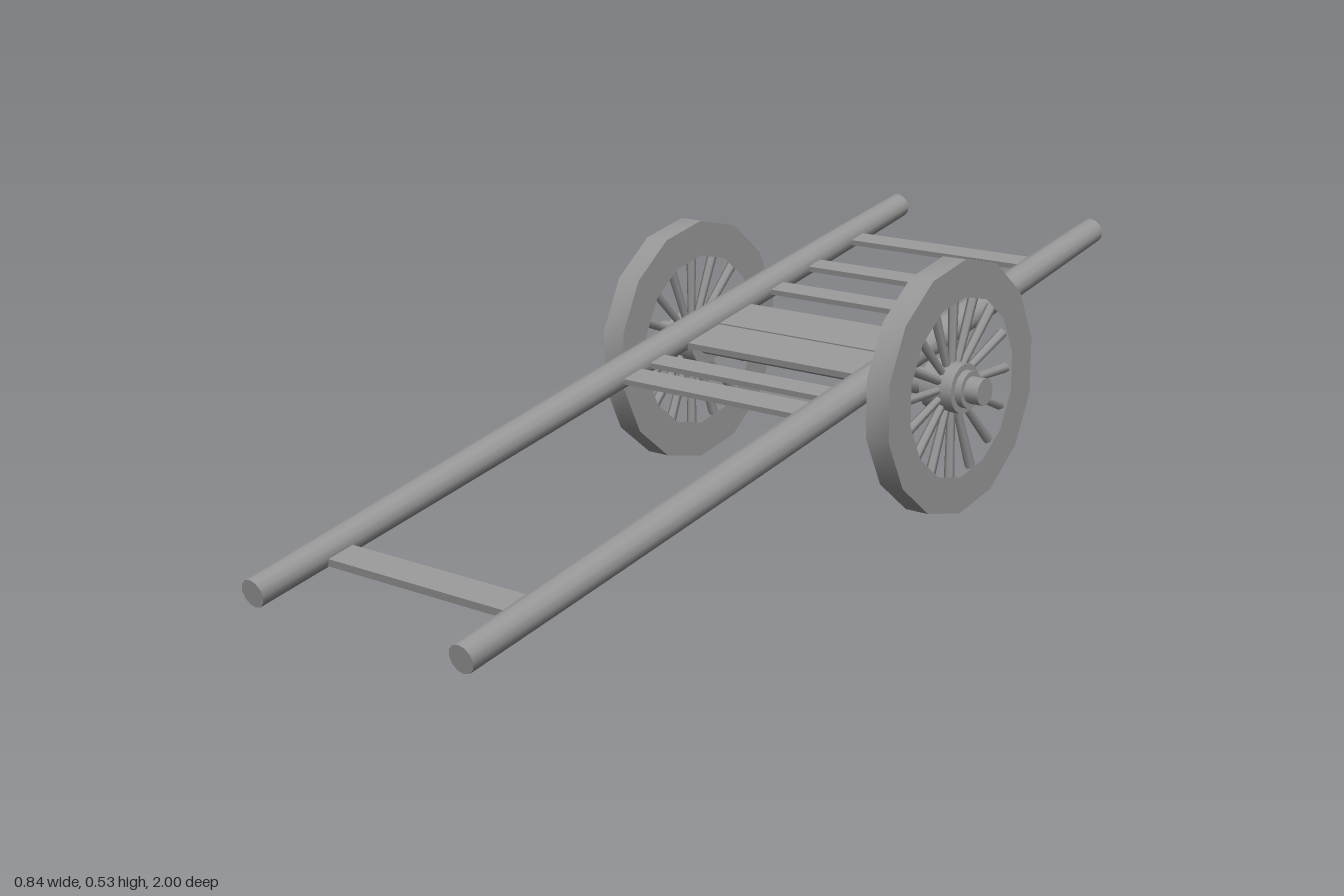
import * as THREE from 'three';
import { toCreasedNormals } from 'three/addons/utils/BufferGeometryUtils.js';

const mat = new THREE.MeshStandardMaterial({ color: 0x979797 });

function add(parent, geometry, name, x = 0, y = 0, z = 0) {
  const mesh = new THREE.Mesh(geometry, mat);
  mesh.name = name;
  mesh.position.set(x, y, z);
  parent.add(mesh);
  return mesh;
}

// Cylinder lying along x between two x positions
function barX(x0, x1, r, sides) {
  return new THREE.CylinderGeometry(r, r, Math.abs(x1 - x0), sides)
    .rotateZ(-Math.PI / 2)
    .translate((x0 + x1) / 2, 0, 0);
}

// Long shaft pole, slightly swollen at the middle, smooth around
function poleGeometry(length) {
  const geo = new THREE.CylinderGeometry(1, 1, length, 12, 10).rotateX(Math.PI / 2);
  const p = geo.attributes.position;
  for (let i = 0; i < p.count; i++) {
    const t = p.getZ(i) / (length / 2);
    const swell = 1 - t * t;
    p.setX(i, p.getX(i) * (0.028 + 0.008 * swell));
    p.setY(i, p.getY(i) * (0.028 + 0.003 * swell));
  }
  return toCreasedNormals(geo, 0.8);
}

// Fourteen-sided rim with a corner at the top, smooth tread and sharp edges
function rimGeometry(outer, inner, width) {
  const ring = (r) => Array.from({ length: 14 }, (_, i) => {
    const a = (i / 14) * Math.PI * 2;
    return new THREE.Vector2(Math.sin(a) * r, Math.cos(a) * r);
  });
  const shape = new THREE.Shape(ring(outer));
  shape.holes.push(new THREE.Path(ring(inner)));
  const geo = new THREE.ExtrudeGeometry(shape, { depth: width, bevelEnabled: false })
    .translate(0, 0, -width / 2)
    .rotateY(Math.PI / 2);
  return toCreasedNormals(geo, 0.8);
}

function makeWheel(side) {
  const wheel = new THREE.Group();
  wheel.name = side > 0 ? 'leftWheel' : 'rightWheel';
  add(wheel, rimGeometry(0.263, 0.187, 0.054), 'rim', side * 0.34);

  // Spokes, thicker towards the rim
  for (let i = 0; i < 16; i++) {
    const geo = new THREE.CylinderGeometry(0.011, 0.008, 0.165, 6)
      .translate(0, 0.1175, 0)
      .rotateX((i / 16) * Math.PI * 2);
    add(wheel, geo, 'spoke', side * 0.34);
  }

  // Stepped hub
  for (const [x0, x1, r] of [[0.296, 0.373, 0.052], [0.373, 0.388, 0.039]]) {
    add(wheel, barX(side * x0, side * x1, r, 16), 'hub');
  }
  return wheel;
}

export function createModel() {
  const cart = new THREE.Group();
  cart.name = 'handcart';

  // Sloping frame: two poles joined by slats
  const pitch = 0.2122;
  const frame = new THREE.Group();
  frame.name = 'frame';
  frame.position.y = 0.262;
  frame.rotation.x = pitch;
  cart.add(frame);

  for (const side of [-1, 1]) {
    add(frame, poleGeometry(2.034), side > 0 ? 'leftPole' : 'rightPole', side * 0.26);
  }

  // Slats: z position, depth, thickness, offset from the pole axis
  const slats = [
    [-0.787, 0.045, 0.012, -0.003], [-0.622, 0.043, 0.012, -0.003], [-0.485, 0.045, 0.012, -0.003],
    [-0.335, 0.109, 0.014, -0.008], [-0.227, 0.104, 0.014, -0.01],
    [-0.076, 0.045, 0.012, -0.003], [0.003, 0.055, 0.012, -0.003], [0.811, 0.059, 0.016, -0.01],
  ];
  const c = Math.cos(pitch);
  for (const [z, depth, thick, dy] of slats) {
    add(frame, new THREE.BoxGeometry(0.48, thick, depth / c), depth > 0.1 ? 'plank' : 'slat', 0, dy, z / c);
  }

  // Axle and wheels
  const running = new THREE.Group();
  running.name = 'wheelset';
  running.position.set(0, 0.264, -0.325);
  cart.add(running);
  add(running, barX(-0.42, 0.42, 0.028, 14), 'axle');
  for (const side of [-1, 1]) running.add(makeWheel(side));

  return cart;
}
